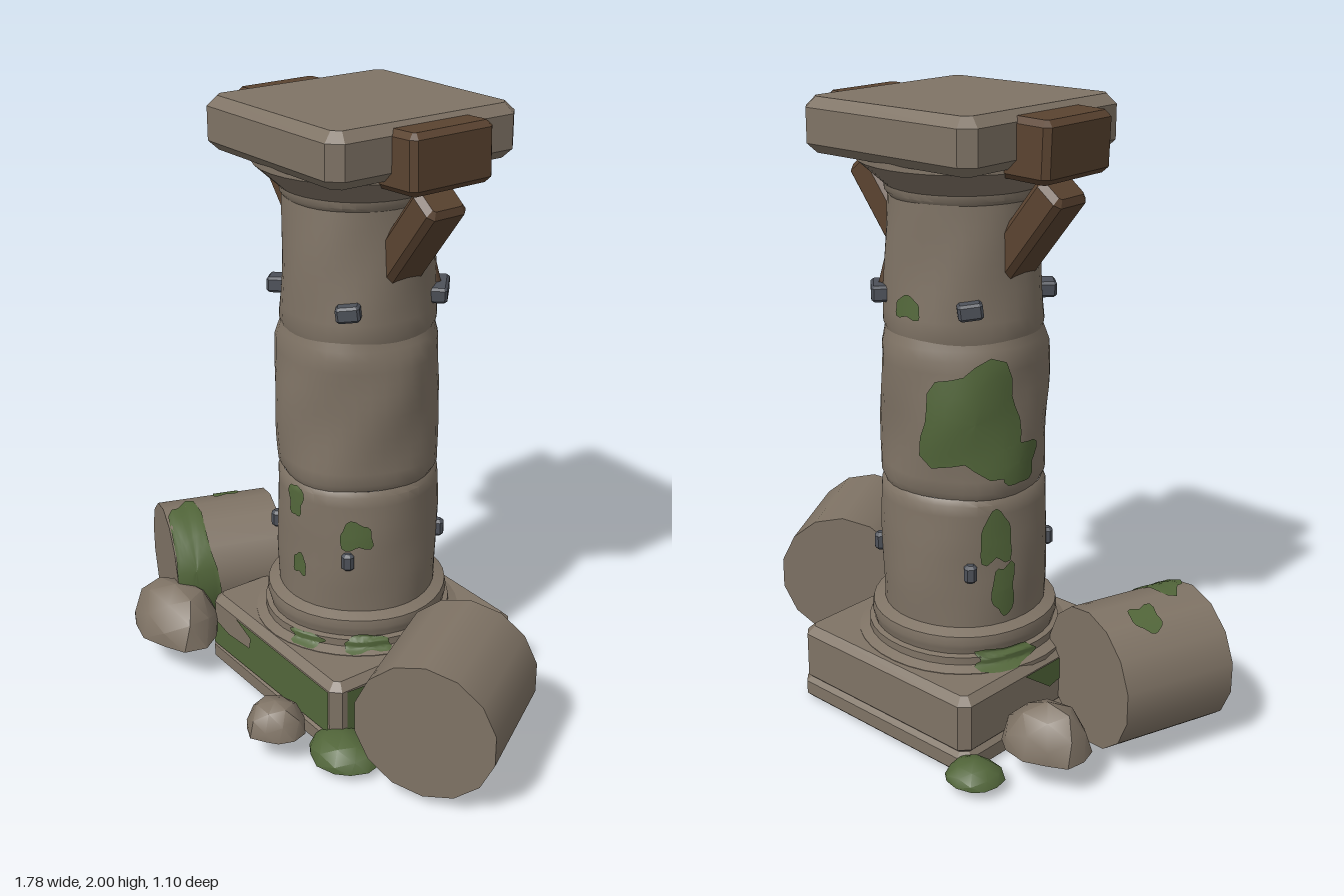
import * as THREE from 'three';
import { mergeVertices, toCreasedNormals } from 'three/addons/utils/BufferGeometryUtils.js';

const mat = (name, color, side = THREE.FrontSide) => {
  const m = new THREE.MeshStandardMaterial({ color, side });
  m.name = name;
  return m;
};
const CX = -0.04, CZ = -0.062; // column axis

export function createModel() {
  const root = new THREE.Group();
  root.name = 'ruinedColumn';
  const stone = mat('stone', 0x7f7365);
  const moss = mat('moss', 0x52663a, THREE.DoubleSide);
  const wood = mat('wood', 0x5a4330);
  const iron = mat('iron', 0x4d5159);

  const add = (name, geo, material, pos = [0, 0, 0], parent = root) => {
    const m = new THREE.Mesh(geo, material);
    m.name = name;
    m.position.set(...pos);
    parent.add(m);
    return m;
  };

  // Box with cut corners and bevelled top and bottom edges
  const chamferBox = (w, h, d, c, cut = c) => {
    const x = w / 2, z = d / 2;
    const s = new THREE.Shape([
      [-x + cut, -z], [x - cut, -z], [x, -z + cut], [x, z - cut],
      [x - cut, z], [-x + cut, z], [-x, z - cut], [-x, -z + cut],
    ].map(p => new THREE.Vector2(...p)));
    const g = new THREE.ExtrudeGeometry(s, {
      depth: h - 2 * c, bevelThickness: c, bevelSize: c, bevelOffset: -c, bevelSegments: 1,
    });
    return g.rotateX(-Math.PI / 2).translate(0, c - h / 2, 0);
  };

  // Weathered radius of a profile at an angle and height
  const radiusAt = (profile, t, y, rough) => {
    let i = 1;
    while (i < profile.length - 1 && profile[i][1] < y) i++;
    const [r0, y0] = profile[i - 1], [r1, y1] = profile[i];
    const k = THREE.MathUtils.clamp((y - y0) / (y1 - y0), 0, 1);
    return r0 + (r1 - r0) * k + rough * (Math.sin(3 * t + 9 * y) + 0.7 * Math.sin(5 * t - 16 * y));
  };

  // Turned stone piece, worn by the same radius rule
  const turned = (name, profile, rough, dx = 0) => {
    const pts = [];
    profile.forEach(([r, y], i) => {
      if (i) {
        const [pr, py] = profile[i - 1], n = Math.max(1, Math.round((y - py) / 0.04));
        for (let k = 1; k <= n; k++) pts.push(new THREE.Vector2(pr + (r - pr) * k / n, py + (y - py) * k / n));
      } else pts.push(new THREE.Vector2(r, y));
    });
    let g = new THREE.LatheGeometry(pts, 36);
    const p = g.attributes.position;
    for (let i = 0; i < p.count; i++) {
      const t = Math.atan2(p.getX(i), p.getZ(i)), y = p.getY(i);
      const r = radiusAt(profile, t, y, rough);
      p.setXYZ(i, r * Math.sin(t), y, r * Math.cos(t));
    }
    g.deleteAttribute('uv');
    g.deleteAttribute('normal');
    g = toCreasedNormals(mergeVertices(g), 0.6);
    add(name, g, stone, [CX + dx, 0, CZ]);
  };

  // Irregular patch laid over a surface given by map(u, v)
  const patchGeo = (map, u, v, du, dv, seed) => {
    const rings = 5, segs = 24, pos = [], idx = [];
    for (let i = 0; i <= rings; i++) for (let j = 0; j < segs; j++) {
      const a = j / segs * Math.PI * 2;
      const box = 1 / Math.pow(Math.cos(a) ** 4 + Math.sin(a) ** 4, 0.25);
      const k = i / rings * box * (0.92 + 0.12 * Math.sin(3 * a + seed) + 0.09 * Math.sin(5 * a + 2 * seed));
      pos.push(...map(u + du * k * Math.cos(a), v + dv * k * Math.sin(a)));
      if (i < rings) {
        const b = i * segs + j, c = i * segs + (j + 1) % segs;
        idx.push(b, b + segs, c, c, b + segs, c + segs);
      }
    }
    const g = new THREE.BufferGeometry();
    g.setAttribute('position', new THREE.Float32BufferAttribute(pos, 3));
    g.setIndex(idx);
    g.computeVertexNormals();
    return g;
  };
  const columnMoss = (profile, rough, list) => list.forEach(([t, y, dt, dy], i) => {
    const map = (a, h) => {
      const r = radiusAt(profile, a, h, rough) + 0.007;
      return [r * Math.sin(a), h, r * Math.cos(a)];
    };
    add('columnMoss', patchGeo(map, t, y, dt, dy, i * 1.7 + t), moss, [CX, 0, CZ]);
  });

  // Plinth
  const plinth = new THREE.Group();
  plinth.name = 'plinth';
  plinth.position.set(-0.025, 0, -0.065);
  plinth.rotation.y = -0.035;
  root.add(plinth);
  add('plinthFoot', chamferBox(0.75, 0.075, 0.765, 0.015, 0.03), stone, [0, 0.0375, 0], plinth);
  add('plinthBlock', chamferBox(0.74, 0.2, 0.755, 0.025, 0.03), stone, [0, 0.16, 0], plinth);
  const plate = (name, pts) => {
    const g = new THREE.ShapeGeometry(new THREE.Shape(pts.map(p => new THREE.Vector2(...p))));
    return add(name, g, moss, [0, 0, 0], plinth);
  };
  plate('frontMoss', [[-0.345, 0.07], [0.34, 0.08], [0.34, 0.235], [-0.2, 0.235], [-0.11, 0.2],
    [-0.12, 0.16], [-0.25, 0.15], [-0.345, 0.17]]).position.z = 0.382;
  const side = plate('sideMoss', [[-0.33, 0.08], [0.31, 0.085], [0.31, 0.2], [0.1, 0.21], [-0.33, 0.235]]);
  side.rotation.y = Math.PI / 2;
  side.position.x = 0.374;
  const edge = plate('sideMoss', [[-0.1, 0.235], [0.02, 0.15], [0.12, 0.17], [0.2, 0.09], [0.33, 0.08], [0.33, 0.235]]);
  edge.rotation.y = -Math.PI / 2;
  edge.position.x = -0.374;
  const under = plate('undersideMoss', [[0.15, 0.36], [-0.34, 0.36], [-0.34, -0.34], [-0.1, -0.1], [-0.02, 0.15]]);
  under.rotation.x = -Math.PI / 2;
  under.position.y = 0.0005;

  // Column: base rings, three drums and capital
  const base = [[0.345, 0.22], [0.345, 0.262], [0.312, 0.275], [0.312, 0.3], [0.295, 0.305],
    [0.3, 0.325], [0.304, 0.34], [0.3, 0.365], [0.262, 0.38]];
  const lower = [[0.262, 0.36], [0.267, 0.5], [0.267, 0.65], [0.262, 0.79], [0.25, 0.808]];
  const middle = [[0.25, 0.806], [0.262, 0.83], [0.262, 0.95], [0.264, 1.1], [0.26, 1.25], [0.243, 1.31]];
  const upper = [[0.235, 1.27], [0.25, 1.32], [0.24, 1.5], [0.23, 1.73]];
  turned('baseRings', base, 0.002);
  turned('lowerDrum', lower, 0.002);
  turned('middleDrum', middle, 0.005);
  turned('upperDrum', upper, 0.003);
  turned('capitalFlare', [[0.228, 1.71], [0.24, 1.725], [0.242, 1.745], [0.325, 1.82], [0.325, 1.86]], 0.001);
  columnMoss(base, 0.002, [[0.35, 0.285, 0.2, 0.02], [1.0, 0.29, 0.25, 0.025], [-2.0, 0.29, 0.35, 0.03]]);
  columnMoss(lower, 0.002, [[0.08, 0.75, 0.13, 0.055], [0.88, 0.66, 0.2, 0.05], [0.13, 0.52, 0.11, 0.04],
    [-2.05, 0.68, 0.2, 0.09], [-1.95, 0.5, 0.15, 0.09]]);
  columnMoss(middle, 0.005, [[-2.3, 1.06, 0.62, 0.18], [-1.75, 0.92, 0.3, 0.07]]);
  columnMoss(upper, 0.003, [[3.12, 1.4, 0.2, 0.035]]);
  add('capitalSlab', chamferBox(0.675, 0.165, 0.7, 0.03, 0.04), stone, [-0.033, 1.9175, -0.062]).rotation.y = -0.02;

  // Timber blocks and braces, mirrored on both sides
  for (const s of [-1, 1]) {
    const beam = add('timberBlock', chamferBox(0.3, 0.18, 0.31, 0.018), wood, [CX + s * 0.285, 1.895, -0.063]);
    beam.rotation.z = 0.03;
    const brace = add('timberBrace', chamferBox(0.11, 0.38, 0.15, 0.018), wood, [CX + s * 0.265, 1.622, -0.065]);
    brace.rotation.z = -s * 0.66;
  }

  // Iron pegs on the diagonals
  for (let i = 0; i < 4; i++) {
    const a = Math.PI / 4 + i * Math.PI / 2, sx = Math.sin(a), sz = Math.cos(a);
    const wide = i === 1 ? 0.14 : 0.075;
    const clamp = add('ironClamp', chamferBox(wide, 0.05, 0.07, 0.008), iron, [CX + sx * 0.25, 1.41, CZ + sz * 0.25]);
    clamp.rotation.set(0, a, i % 2 ? 0.05 : 0.12);
    const peg = add('ironPeg', chamferBox(0.04, 0.06, 0.05, 0.01), iron, [CX + sx * 0.265, 0.57, CZ + sz * 0.265]);
    peg.rotation.y = a;
  }
  const splinter = add('woodSplinter', new THREE.ConeGeometry(0.03, 0.12, 4), wood, [0.125, 1.49, -0.225]);
  splinter.rotation.y = Math.PI / 4;

  // Fallen drums
  const fallenDrum = (x, y, z, r, len, turn) => {
    const g = new THREE.Group();
    g.name = 'fallenDrum';
    g.position.set(x, y, z);
    g.rotation.y = turn;
    root.add(g);
    const c = new THREE.CylinderGeometry(r, r, len, 14).rotateX(Math.PI / 2);
    add('drumBody', c, stone, [0, 0, 0], g);
    return g;
  };
  fallenDrum(0.584, 0.267, 0.08, 0.23, 0.415, 0.5);
  const mossy = fallenDrum(-0.62, 0.243, 0.12, 0.226, 0.395, -0.356);
  const onDrum = (a, z) => [0.23 * Math.cos(a), 0.23 * Math.sin(a), Math.min(z, 0.1975)];
  add('drumMoss', patchGeo(onDrum, 0.35, 0.13, 1.3, 0.08, 2), moss, [0, 0, 0], mossy);
  add('drumMoss', patchGeo(onDrum, 1.97, -0.046, 0.24, 0.05, 1), moss, [0, 0, 0], mossy);

  // Flat-bottomed rubble and moss clumps: x, bottom, z, half width, height, half depth
  const mound = (name, material, x, y, z, w, h, d, seed) => {
    let g = new THREE.IcosahedronGeometry(1, 1);
    const p = g.attributes.position;
    for (let i = 0; i < p.count; i++) {
      const [a, b, c] = [p.getX(i), p.getY(i), p.getZ(i)];
      const k = 1 + 0.07 * Math.sin(4 * a + seed) * Math.cos(3 * c + 2 * seed);
      p.setXYZ(i, a * k * w, Math.max(b * k, 0) * h, c * k * d);
    }
    g.deleteAttribute('uv');
    g.deleteAttribute('normal');
    g = toCreasedNormals(mergeVertices(g), 0.6);
    add(name, g, material, [x, y, z]);
  };
  mound('rock', stone, -0.475, 0.13, 0.4, 0.185, 0.17, 0.135, 1);
  mound('rock', stone, 0.185, 0.095, 0.45, 0.1, 0.105, 0.095, 2);
  mound('rock', stone, -0.565, 0.11, -0.285, 0.15, 0.15, 0.118, 3);
  mound('mossClump', moss, 0.36, 0.03, 0.315, 0.13, 0.075, 0.105, 4);
  mound('mossClump', moss, -0.432, 0.035, -0.47, 0.095, 0.055, 0.088, 5);

  return root;
}
